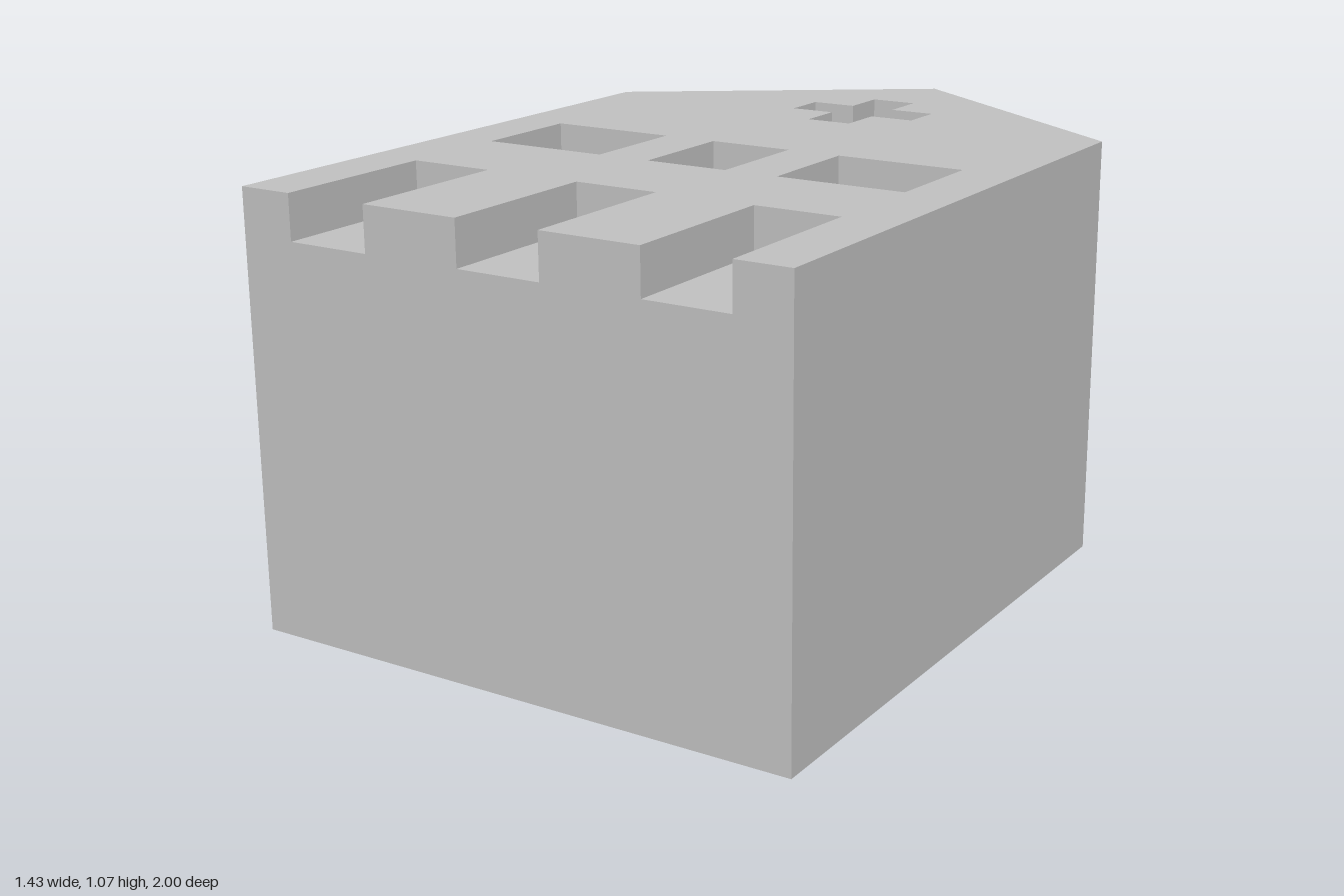
import * as THREE from 'three';

const HALF = 0.713, EAVE = -0.5, HEIGHT = 1.07, FLOOR = 0.96;

// Plan outlines are written as [x, z] and laid flat, with the extrusion going up.
const toPoints = (plan) => plan.map(([x, z]) => new THREE.Vector2(x, -z));

function slab(plan, holes, y0, y1) {
  const shape = new THREE.Shape(toPoints(plan));
  holes.forEach((h) => shape.holes.push(new THREE.Path(toPoints(h))));
  const geo = new THREE.ExtrudeGeometry(shape, { depth: y1 - y0, bevelEnabled: false });
  return geo.rotateX(-Math.PI / 2).translate(0, y0, 0);
}

const rect = (x0, x1, z0, z1) => [[x0, z0], [x1, z0], [x1, z1], [x0, z1]];

export function createModel() {
  const group = new THREE.Group();
  group.name = 'houseBlock';
  const grey = new THREE.MeshStandardMaterial({ color: 0xc0c0c0 });
  grey.name = 'plain grey';

  const add = (name, geo) => {
    const mesh = new THREE.Mesh(geo, grey);
    mesh.name = name;
    group.add(mesh);
  };

  // Gabled outline shared by both layers
  const gable = [[HALF, 1], [HALF, EAVE], [0, -1], [-HALF, EAVE], [-HALF, 1]];
  add('houseBody', slab(gable, [], 0, FLOOR));

  // Three doorways open through the front edge
  const doors = [[-0.575, -0.36], [-0.108, 0.108], [0.36, 0.575]];
  const notches = doors.flatMap(([a, b]) => [[a, 1], [a, 0.57], [b, 0.57], [b, 1]]);

  // Three windows and a cross sunk into the facade
  const windows = [[-0.575, -0.247], [-0.108, 0.108], [0.247, 0.575]]
    .map(([a, b]) => rect(a, b, -0.003, 0.285));
  const w = 0.06, arm = 0.177, z0 = -0.752, z1 = -0.63, z2 = -0.514, z3 = -0.391;
  const cross = [
    [-w, z0], [w, z0], [w, z1], [arm, z1], [arm, z2], [w, z2],
    [w, z3], [-w, z3], [-w, z2], [-arm, z2], [-arm, z1], [-w, z1],
  ];
  add('facade', slab([...gable, ...notches], [...windows, cross], FLOOR, HEIGHT));

  return group;
}
